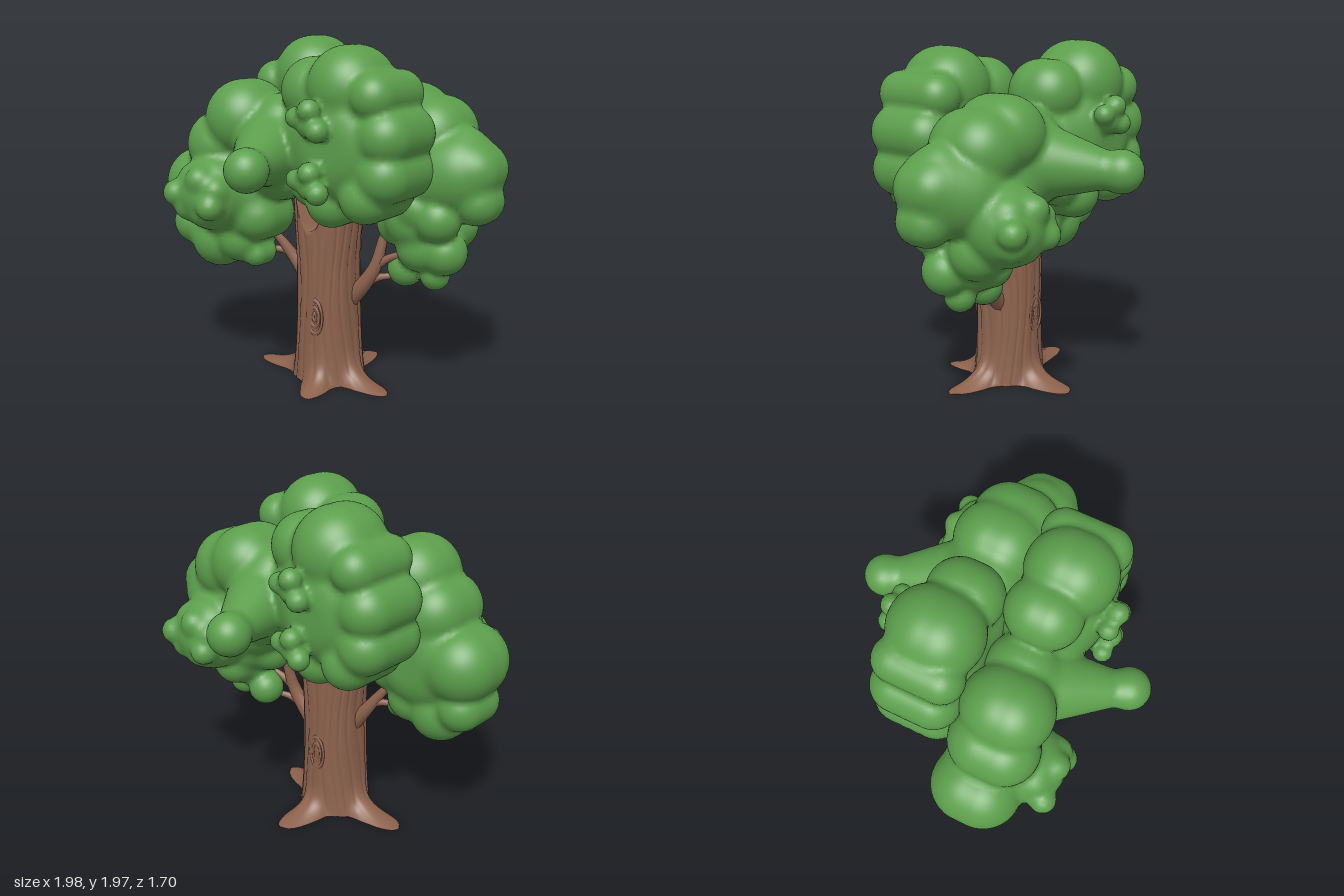
import * as THREE from 'three';

const leaf = new THREE.MeshStandardMaterial({ color: 0x5c9e4c });
leaf.name = 'leaf green';
const bark = new THREE.MeshStandardMaterial({ color: 0x8c624d });
bark.name = 'bark brown';

const mesh = (name, geometry, material) => {
  const m = new THREE.Mesh(geometry, material);
  m.name = name;
  return m;
};

// Round-rimmed disc across x and y, radius r, half depth d, as a distance function
function puff([x, y, r, z = 0.23, d = 0.25]) {
  const q = Math.min(r, d);
  return (px, py, pz) => {
    const a = Math.sqrt((px - x) ** 2 + (py - y) ** 2) - r + q;
    const b = Math.abs(pz - z) - d + q;
    const a0 = Math.max(a, 0), b0 = Math.max(b, 0);
    return Math.min(Math.max(a, b), 0) + Math.sqrt(a0 * a0 + b0 * b0) - q;
  };
}
const ball = (x, y, z, r) => (px, py, pz) =>
  Math.sqrt((px - x) ** 2 + (py - y) ** 2 + (pz - z) ** 2) - r;

// Tapered round bough from a to b, as a distance function
function bough(a, b, r0, r1) {
  const [dx, dy, dz] = b.map((v, i) => v - a[i]);
  const len2 = dx * dx + dy * dy + dz * dz;
  return (px, py, pz) => {
    const x = px - a[0], y = py - a[1], z = pz - a[2];
    const t = Math.min(1, Math.max(0, (x * dx + y * dy + z * dz) / len2));
    return Math.sqrt((x - t * dx) ** 2 + (y - t * dy) ** 2 + (z - t * dz) ** 2) - r0 - (r1 - r0) * t;
  };
}

// Skin over softly merged shapes, built on a regular grid of cells
function skin(shapes, k, min, max, h) {
  const field = (x, y, z) => {
    let d = 10;
    for (const s of shapes) {
      const e = s(x, y, z);
      const m = Math.max(k - Math.abs(d - e), 0);
      d = Math.min(d, e) - (m * m) / (4 * k);
    }
    return d;
  };
  const n = min.map((v, i) => Math.ceil((max[i] - v) / h) + 1);
  const step = [1, n[0], n[0] * n[1]];
  const f = new Float32Array(n[0] * n[1] * n[2]);
  const each = (from, trim, fn) => {
    for (let c = from; c < n[2] - trim; c++)
      for (let b = from; b < n[1] - trim; b++)
        for (let a = from; a < n[0] - trim; a++) fn(a, b, c, a + b * step[1] + c * step[2]);
  };
  each(0, 0, (a, b, c, i) => { f[i] = field(min[0] + a * h, min[1] + b * h, min[2] + c * h); });

  // One vertex in each cell the surface crosses, settled onto the surface
  const ids = new Int32Array(f.length), pos = [], nor = [], idx = [];
  each(0, 1, (a, b, c, i) => {
    const sum = [0, 0, 0];
    let count = 0;
    for (let e = 0; e < 8; e++)
      for (let axis = 0; axis < 3; axis++) {
        if (e & (1 << axis)) continue;
        const o = [e & 1, (e >> 1) & 1, e >> 2];
        const p = i + o[0] + o[1] * step[1] + o[2] * step[2];
        const f0 = f[p], f1 = f[p + step[axis]];
        if ((f0 < 0) === (f1 < 0)) continue;
        o[axis] += f0 / (f0 - f1);
        o.forEach((v, j) => { sum[j] += v; });
        count++;
      }
    if (!count) return;
    const [x, y, z] = [a, b, c].map((v, j) => min[j] + (v + sum[j] / count) * h);
    const s = 0.004;
    const g = new THREE.Vector3(
      field(x + s, y, z) - field(x - s, y, z),
      field(x, y + s, z) - field(x, y - s, z),
      field(x, y, z + s) - field(x, y, z - s)).normalize();
    const d = field(x, y, z);
    ids[i] = pos.length / 3;
    pos.push(x - g.x * d, y - g.y * d, z - g.z * d);
    nor.push(g.x, g.y, g.z);
  });

  // One quad around each grid edge the surface crosses
  each(1, 1, (a, b, c, i) => {
    for (let axis = 0; axis < 3; axis++) {
      if ((f[i] < 0) === (f[i + step[axis]] < 0)) continue;
      const u = step[(axis + 1) % 3], v = step[(axis + 2) % 3];
      const q = [ids[i], ids[i - u], ids[i - u - v], ids[i - v]];
      if (f[i] >= 0) q.reverse();
      idx.push(q[0], q[1], q[2], q[0], q[2], q[3]);
    }
  });
  const geo = new THREE.BufferGeometry();
  geo.setAttribute('position', new THREE.Float32BufferAttribute(pos, 3));
  geo.setAttribute('normal', new THREE.Float32BufferAttribute(nor, 3));
  geo.setIndex(idx);
  return geo;
}

// Tapered twig along a smooth path
function taper(points, r0, r1) {
  const curve = new THREE.CatmullRomCurve3(points.map((p) => new THREE.Vector3(...p)));
  const n = 14, sides = 12;
  const g = new THREE.TubeGeometry(curve, n, 1, sides);
  const pos = g.attributes.position;
  const v = new THREE.Vector3();
  for (let i = 0; i < pos.count; i++) {
    const t = Math.floor(i / (sides + 1)) / n;
    const c = curve.getPointAt(t);
    v.fromBufferAttribute(pos, i).sub(c).multiplyScalar(r0 + (r1 - r0) * t).add(c);
    pos.setXYZ(i, v.x, v.y, v.z);
  }
  return g;
}

// Stem of stacked rings, flaring into four roots and forking at the top
function stem() {
  const rows = 52, sides = 152, pos = [], idx = [];
  const roots = [[0.14, 0.245], [1.33, 0.2], [3.12, 0.285], [4.74, 0.27]]; // angle, reach
  const round = (v) => Math.sign(v) * Math.abs(v) ** 0.85;
  for (let i = 0; i <= rows; i++)
    for (let j = 0; j < sides; j++) {
      const a = (j / sides) * Math.PI * 2, c = Math.cos(a), s = Math.sin(a);
      const rim = 0.91 + 0.27 * Math.min(1, (c / 0.62) ** 2);
      const y = rim * (i / rows) ** 1.8;
      let r = -0.007 * Math.max(0, Math.sin(a * 19 + 1.6 * Math.sin(y * 7 + a * 2))) ** 3;
      for (const [angle, reach] of roots) {
        const d = Math.atan2(Math.sin(a - angle), Math.cos(a - angle));
        r += reach * Math.exp(-y / 0.045) * Math.exp(-((d / 0.27) ** 2));
      }
      const rx = 0.167 + 0.05 * Math.exp(-y / 0.2) + 0.07 * Math.max(0, y - 0.7);
      pos.push(-0.012 + rx * round(c) + r * c, y, 0.035 + 0.187 * round(s) + r * s);
      const p = i * sides + j, q = i * sides + ((j + 1) % sides);
      if (i < rows) idx.push(p, p + sides, q, q, p + sides, q + sides);
    }
  const bottom = pos.length / 3, last = rows * sides;
  pos.push(-0.01, 0, 0.035, -0.01, 0.89, 0.035);
  for (let j = 0; j < sides; j++) {
    const k = (j + 1) % sides;
    idx.push(bottom, j, k, bottom + 1, last + k, last + j);
  }
  const g = new THREE.BufferGeometry();
  g.setAttribute('position', new THREE.Float32BufferAttribute(pos, 3));
  g.setIndex(idx);
  g.computeVertexNormals();
  return g;
}

function buildTrunk() {
  const trunk = new THREE.Group();
  trunk.name = 'trunk';
  trunk.add(mesh('stemAndRoots', stem(), bark));

  const twigs = [
    [[[-0.13, 0.56, 0.06], [-0.22, 0.68, 0.08], [-0.3, 0.8, 0.12], [-0.36, 0.88, 0.16]], 0.05, 0.018],
    [[[-0.19, 0.66, 0.07], [-0.27, 0.73, 0.1], [-0.4, 0.74, 0.16]], 0.03, 0.015],
    [[[0.11, 0.48, 0], [0.2, 0.58, -0.01], [0.27, 0.7, -0.03], [0.3, 0.86, -0.06], [0.33, 1, -0.1]], 0.055, 0.018],
    [[[0.26, 0.69, -0.03], [0.34, 0.75, -0.05], [0.46, 0.8, -0.08]], 0.028, 0.016],
    [[[0.2, 0.58, -0.01], [0.28, 0.63, -0.04], [0.4, 0.65, -0.1]], 0.028, 0.014],
  ];
  for (const [path, r0, r1] of twigs) trunk.add(mesh('twig', taper(path, r0, r1), bark));

  // Oval knots on the front and back
  for (const [z, x] of [[0.215, 0.02], [-0.145, -0.03]]) {
    const knot = new THREE.Group();
    knot.name = 'knot';
    for (const r of [0.052, 0.03, 0.01]) {
      const ring = mesh('knotRing', new THREE.TorusGeometry(r, 0.008, 8, 32), bark);
      ring.scale.set(1, 1.9, 1);
      knot.add(ring);
    }
    knot.position.set(x, 0.41, z);
    trunk.add(knot);
  }
  return trunk;
}

// Half of the crown, drawn as the front one
function buildCrown(name, spreadingLobe) {
  // Tall inner lobe: [x, y, radius, z, half depth]
  const shapes = [
    [0.29, 1.73, 0.22, 0.235], [0.5, 1.7, 0.125], [0.56, 1.5, 0.15], [0.56, 1.3, 0.145],
    [0.45, 1.18, 0.14], [0.2, 1.12, 0.14, 0.21, 0.22], [0.04, 1.7, 0.18, 0.2, 0.21],
    [0.28, 1.44, 0.34, 0.235, 0.25], [0.1, 1.42, 0.27, 0.21, 0.23], [0.07, 1.2, 0.13, 0.2, 0.2],
    [-0.1, 1.24, 0.13, 0.2, 0.2],
  ].map(puff).concat(spreadingLobe);

  // Protruding bough with a round end
  shapes.push(bough([-0.21, 1.37, 0.28], [-0.03, 1.33, 0.7], 0.23, 0.09), ball(-0.01, 1.33, 0.735, 0.117));

  // Lumpy cluster
  shapes.push(ball(-0.55, 1.1, 0.4, 0.22));
  for (let i = 0; i < 7; i++) {
    const a = (i / 7) * Math.PI * 2 + 0.4;
    shapes.push(ball(-0.56 + 0.14 * Math.cos(a), 1.1 + 0.1 * Math.sin(a), 0.53 + 0.04 * Math.sin(i * 2.4), 0.075));
  }

  // Small sprigs
  for (const y of [1.57, 1.25])
    shapes.push(ball(0.14, y + 0.02, 0.52, 0.055), ball(0.23, y + 0.06, 0.53, 0.06),
      ball(0.28, y - 0.04, 0.53, 0.06), ball(0.21, y - 0.02, 0.49, 0.07));
  return mesh(name, skin(shapes, 0.032, [-1.08, 0.52, -0.22], [0.8, 2.06, 0.94], 0.022), leaf);
}

export function createModel() {
  const tree = new THREE.Group();
  tree.name = 'tree';
  tree.add(buildTrunk());

  tree.add(buildCrown('frontCrown', [
    [-0.79, 1.11, 0.21, 0.215], [-0.6, 1.36, 0.195], [-0.44, 1.52, 0.22], [-0.2, 1.48, 0.19, 0.2, 0.2],
    [-0.82, 0.87, 0.13, 0.22, 0.2], [-0.66, 0.79, 0.175, 0.22, 0.2], [-0.48, 0.82, 0.145, 0.22, 0.19],
    [-0.38, 0.73, 0.075, 0.22, 0.11], [-0.35, 0.97, 0.15, 0.22, 0.2],
    [-0.55, 1.1, 0.33, 0.22, 0.24], [-0.2, 1.3, 0.23, 0.22, 0.22],
  ].map(puff)));

  // Back half, turned half a circle, with a rounder, hanging outer end
  const back = buildCrown('backCrown', [
    [0.3, 1.75, 0.22], [-0.55, 1.46, 0.21, 0.2, 0.25], [-0.38, 1.52, 0.21, 0.22],
    [-0.2, 1.46, 0.2, 0.21, 0.22], [-0.64, 1.25, 0.24, 0.17, 0.27], [-0.45, 1.2, 0.28, 0.18, 0.26],
    [-0.25, 1.3, 0.24, 0.22, 0.23], [-0.5, 1, 0.19, 0.15, 0.24], [-0.53, 0.84, 0.14, 0.13, 0.18],
    [-0.85, 1.3, 0.13, 0.14, 0.17], [-0.855, 1.13, 0.125, 0.13, 0.15],
  ].map(puff).concat([
    ball(-0.73, 1.27, 0.14, 0.235), ball(-0.75, 1.4, 0.15, 0.12),
    ball(-0.67, 1.03, 0.02, 0.13), ball(-0.55, 1.08, -0.01, 0.1), ball(-0.67, 0.83, 0.1, 0.13),
    ball(-0.62, 0.95, 0.27, 0.15), ball(-0.52, 0.86, 0.27, 0.12),
    ball(-0.6, 0.68, 0.13, 0.085), ball(-0.41, 0.69, 0.13, 0.105), ball(-0.37, 0.95, 0.12, 0.13),
  ]));
  back.rotation.y = Math.PI;
  tree.add(back);
  return tree;
}
